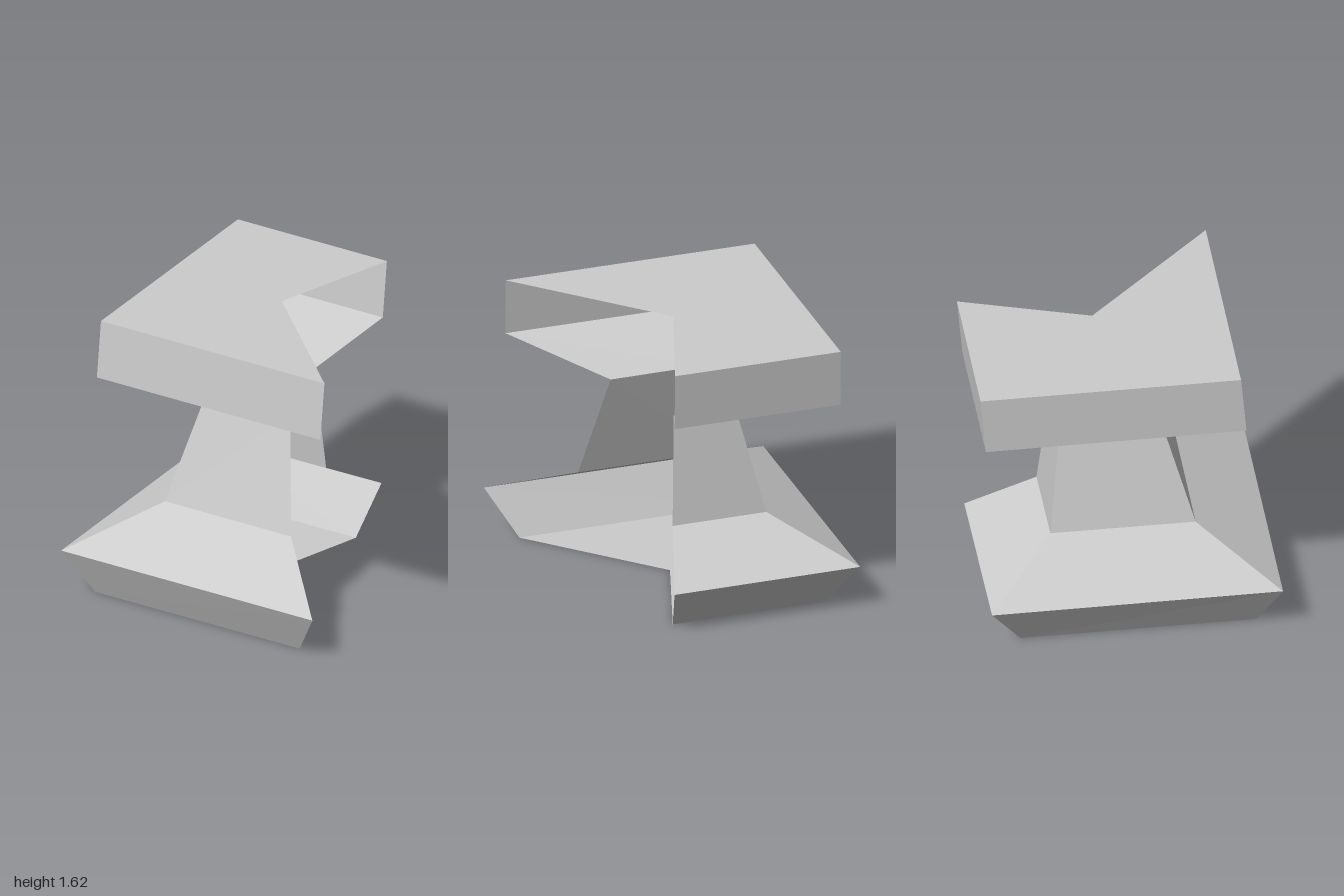
import * as THREE from 'three';

// Corner order at every level: front left end, back left, back right, front right end
const LEVELS = [
  { y: 0.0, p: [[-0.42, 0.81], [-0.78, -0.45], [0.47, -0.81], [0.71, 0.03]] },
  { y: 0.27, p: [[-0.5, 1.0], [-0.94, -0.55], [0.6, -1.0], [0.9, 0.03]] },
  { y: 0.495, p: [[-0.2, 0.5], [-0.42, -0.28], [0.35, -0.5], [0.5, 0.02]] },
  { y: 1.125, p: [[-0.05, 0.33], [-0.2, -0.18], [0.32, -0.33], [0.42, 0.01]] },
  { y: 1.28, p: [[-0.34, 0.89], [-0.73, -0.49], [0.65, -0.89], [0.91, 0.03]] },
  { y: 1.615, p: [[-0.31, 0.89], [-0.7, -0.49], [0.68, -0.89], [0.94, 0.03]] },
];

const stone = new THREE.MeshStandardMaterial({ color: 0xcccccc, side: THREE.DoubleSide, flatShading: true });
stone.name = 'pale grey';

function surface(name, positions) {
  const g = new THREE.BufferGeometry();
  g.setAttribute('position', new THREE.Float32BufferAttribute(positions, 3));
  g.computeVertexNormals();
  const mesh = new THREE.Mesh(g, stone);
  mesh.name = name;
  return mesh;
}

// Three walls between two levels; the front stays open
function walls(name, lower, upper) {
  const at = (level, i) => [level.p[i][0], level.y, level.p[i][1]];
  const out = [];
  for (let i = 0; i < 3; i++) {
    const a = at(lower, i + 1), b = at(lower, i), c = at(upper, i), d = at(upper, i + 1);
    out.push(...a, ...b, ...c, ...a, ...c, ...d);
  }
  return surface(name, out);
}

// Flat notched cap, fanned from the notch corner
function cap(name, level, notch, faceUp) {
  const out = [];
  const add = ([x, z]) => out.push(x, level.y, z);
  for (let i = 0; i < 3; i++) {
    add(notch);
    add(level.p[faceUp ? i + 1 : i]);
    add(level.p[faceUp ? i : i + 1]);
  }
  return surface(name, out);
}

export function createModel() {
  const model = new THREE.Group();
  model.name = 'pedestal';

  const names = ['baseFoot', 'baseSlope', 'column', 'topFlare', 'topRim'];
  names.forEach((name, i) => model.add(walls(name, LEVELS[i], LEVELS[i + 1])));

  model.add(cap('basePlate', LEVELS[0], [0.03, 0.01], false));
  model.add(cap('topPlate', LEVELS[5], [0.19, 0], true));
  return model;
}
